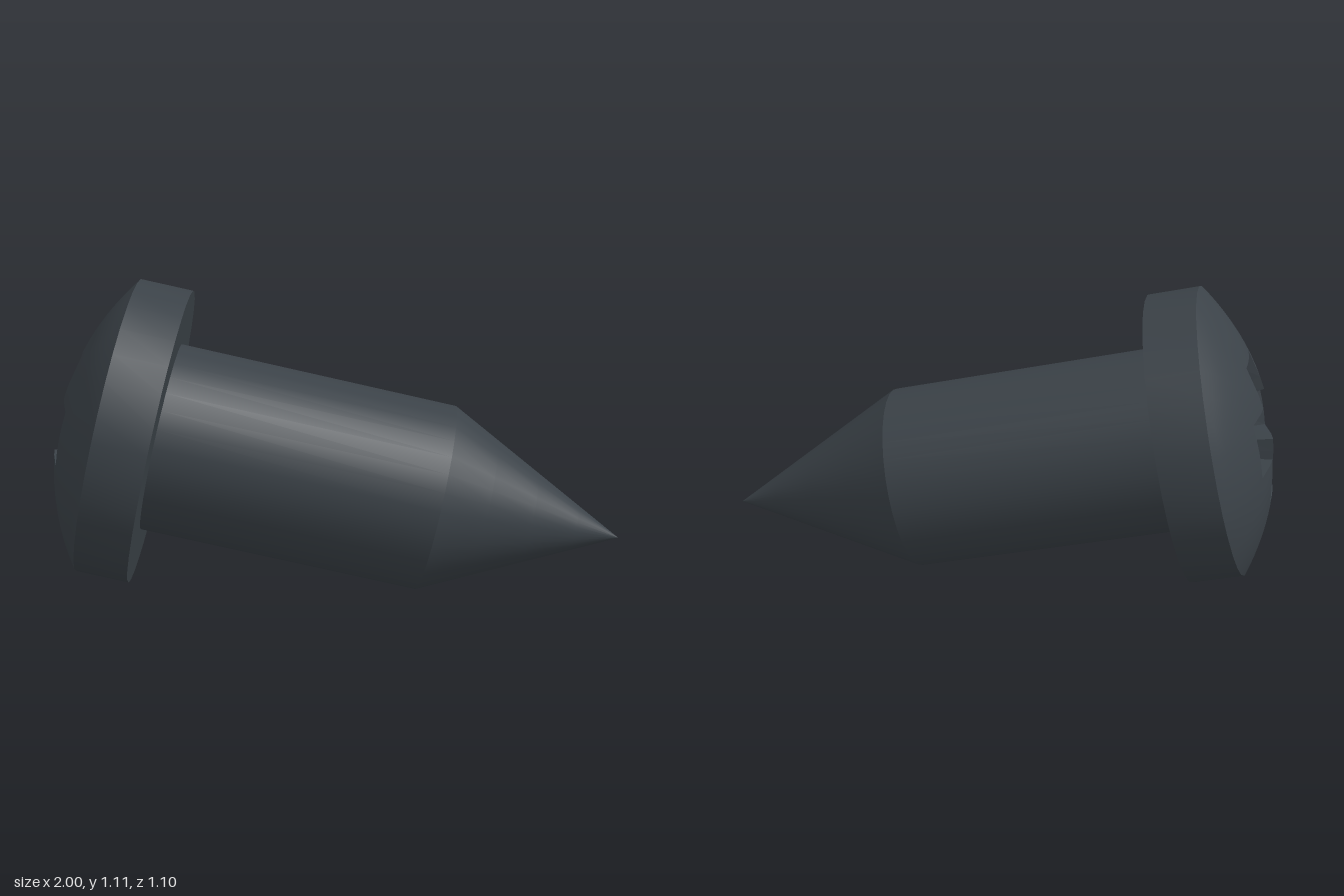
import * as THREE from 'three';

const SIDES = 32;
const HEAD_R = 0.535, RIM_H = 0.19, DOME_H = 0.177;
const SHAFT_R = 0.34, SHAFT_L = 1.006, TIP_L = 0.68;
const ARM_L = 0.26, ARM_W = 0.1; // half sizes of the cross slot

// Angles round the head, nudged so that they hit the corners of the cross
const corner = Math.atan2(ARM_W, ARM_L);
const nudge = Math.PI / 8 - corner;
const angles = Array.from({ length: SIDES }, (_, i) =>
  (i * 2 * Math.PI) / SIDES + (i % 8 === 2 ? -nudge : i % 8 === 6 ? nudge : 0));

// Distance from the axis to the outline of the cross
function crossRadius(a) {
  const m = Math.abs(a - Math.round(a / (Math.PI / 2)) * (Math.PI / 2));
  return m <= corner + 1e-6 ? ARM_L / Math.cos(m) : ARM_W / Math.sin(m);
}

// Height of the domed face at radius r
const DOME_R = (HEAD_R ** 2 + DOME_H ** 2) / (2 * DOME_H);
const domeY = (r) => RIM_H + DOME_H - DOME_R + Math.sqrt(DOME_R ** 2 - r * r);

// Skin closed loops; each ring is a function angle -> [radius, height]
function loft(rings, flat = false) {
  const pos = [], idx = [];
  for (const ring of rings) {
    for (const a of angles) {
      const [r, y] = ring(a);
      pos.push(r * Math.cos(a), y, r * Math.sin(a));
    }
  }
  for (let j = 0; j < rings.length - 1; j++) {
    for (let i = 0; i < SIDES; i++) {
      const k = (i + 1) % SIDES, p = j * SIDES, q = p + SIDES;
      idx.push(p + i, q + i, p + k, q + i, q + k, p + k);
    }
  }
  let g = new THREE.BufferGeometry();
  g.setAttribute('position', new THREE.Float32BufferAttribute(pos, 3));
  g.setIndex(idx);
  if (flat) g = g.toNonIndexed();
  g.computeVertexNormals();
  return g;
}

export function createModel() {
  const model = new THREE.Group();
  const screw = new THREE.Group();
  screw.name = 'screw';
  model.add(screw);
  const steel = new THREE.MeshStandardMaterial({ color: 0x3b4248 });
  steel.name = 'dark steel';

  const add = (name, geometry, y = 0) => {
    const mesh = new THREE.Mesh(geometry, steel);
    mesh.name = name;
    mesh.position.y = y;
    screw.add(mesh);
  };

  // Head: flat underside, straight rim, shallow dome around the cross
  add('headUnderside', loft([() => [0, 0], () => [HEAD_R, 0]], true));
  add('headRim', loft([() => [HEAD_R, 0], () => [HEAD_R, RIM_H]]));
  const domeRings = [];
  for (let s = 0; s <= 8; s++) {
    domeRings.push((a) => {
      const r = THREE.MathUtils.lerp(HEAD_R, crossRadius(a), s / 8);
      return [r, domeY(r)];
    });
  }
  add('headDome', loft(domeRings));

  // Cross slot with tapered walls and a slightly deeper centre
  const floorY = RIM_H + DOME_H - 0.11;
  add('crossSlot', loft([
    (a) => [crossRadius(a), domeY(crossRadius(a))],
    (a) => [crossRadius(a) * 0.85, floorY],
    () => [0, floorY - 0.03],
  ], true));

  // Shaft and pointed tip
  add('shaft', new THREE.CylinderGeometry(SHAFT_R, SHAFT_R - 0.002, SHAFT_L, SIDES, 1, true), -SHAFT_L / 2);
  const tip = new THREE.ConeGeometry(SHAFT_R - 0.002, TIP_L, SIDES, 4, true);
  tip.rotateX(Math.PI);
  add('tip', tip, -SHAFT_L - TIP_L / 2);

  // Lean the screw so that its head points left, up and back
  const up = new THREE.Vector3(-0.955, 0.215, -0.203).normalize();
  const side = new THREE.Vector3(-0.208, 0, 0.978).normalize();
  const third = new THREE.Vector3().crossVectors(side, up).normalize();
  side.crossVectors(up, third);
  screw.quaternion.setFromRotationMatrix(new THREE.Matrix4().makeBasis(side, up, third));
  screw.position.set(-0.61, 0.553, 0.008);
  return model;
}
